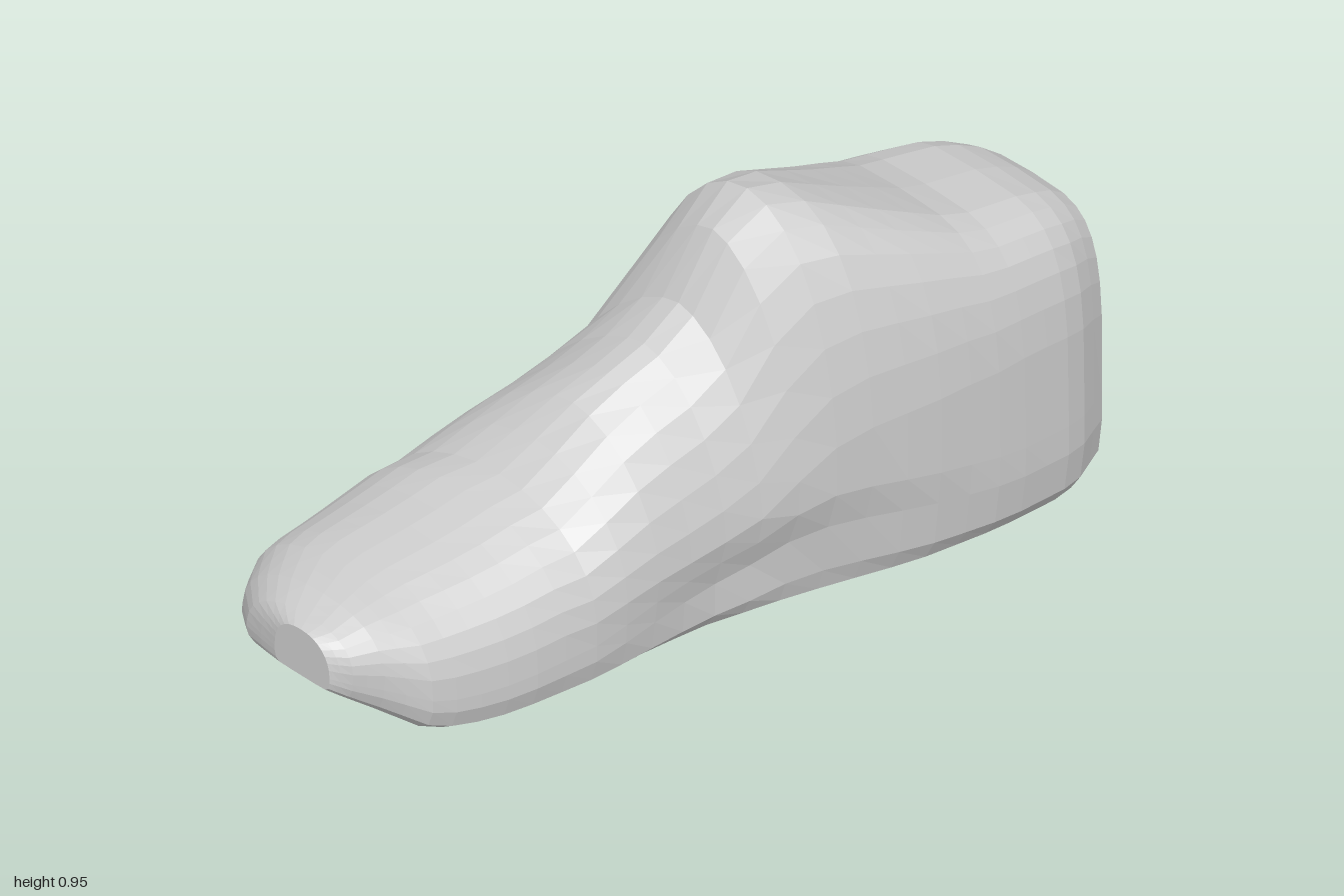
import * as THREE from 'three';

// Plan outline: z, left x, right x
const OUTLINE = [
  [1, -.15, .02], [.97, -.27, .05], [.9, -.36, .09], [.81, -.42, .155], [.6, -.445, .21],
  [.4, -.455, .245], [.1, -.415, .28], [-.1, -.31, .328], [-.4, -.205, .41], [-.61, -.172, .441],
  [-.8, -.115, .444], [-.91, -.04, .395], [-.97, .05, .32], [-1, .12, .27],
];

// Ridge over toe, lacing steps, tongue and heel: z, y
const RIDGE_HEIGHT = [
  [1, .3], [.9, .335], [.6, .38], [.4, .43], [.3, .53], [.19, .605], [.11, .63], [0, .72],
  [-.1, .9], [-.17, .95], [-.25, .935], [-.61, .76], [-.79, .745], [-.9, .7], [-.95, .58], [-1, .37],
];

// Sole lifting at toe and heel: z, y
const SOLE_HEIGHT = [[1, .18], [.8, .03], [.68, .005], [-.8, 0], [-.94, .02], [-.98, .08], [-1, .17]];

// Section style: z, ridge x, roundness (higher is boxier)
const SECTION = [[1, -.07, 2.3], [.8, -.13, 2.3], [.5, -.09, 2.2], [.2, .01, 1.6], [-.1, .06, 1.7], [-.4, .11, 2.8], [-.65, .13, 4], [-1, .2, 4]];

// Half of the sole up to the widest point: width fraction, height fraction
const SOLE_EDGE = [[0, 0], [.45, 0], [.84, .01], [.95, .07], [1, .2]];
const WIDEST = .3;
const UPPER_STEPS = 8;
const ROWS = 36;

// Linear reading of a column in a table that runs from toe to heel
function read(table, z, column = 1) {
  let i = 0;
  while (i < table.length - 2 && z < table[i + 1][0]) i++;
  const t = (table[i][0] - z) / (table[i][0] - table[i + 1][0]);
  return THREE.MathUtils.lerp(table[i][column], table[i + 1][column], t);
}

// Half section: sole edge followed by a superelliptic upper
function halfSection(power) {
  const points = [...SOLE_EDGE];
  for (let i = 0; i <= UPPER_STEPS; i++) {
    const angle = i / UPPER_STEPS * Math.PI / 2;
    const u = i === UPPER_STEPS ? 0 : Math.cos(angle) ** (2 / power);
    points.push([u, WIDEST + (1 - WIDEST) * Math.sin(angle) ** (2 / power)]);
  }
  return points;
}

// One closed ring of points around the foot
function ring(z) {
  const left = read(OUTLINE, z), right = read(OUTLINE, z, 2);
  const bottom = read(SOLE_HEIGHT, z), top = read(RIDGE_HEIGHT, z);
  const centre = (left + right) / 2, half = (right - left) / 2;
  const lean = read(SECTION, z) - centre;
  const section = halfSection(read(SECTION, z, 2));
  const place = (side) => ([u, v]) => {
    const y = bottom + v * (top - bottom);
    let x = centre + lean * v * v + side * u * half;
    // hollow of the arch on the inner side
    if (side > 0) x -= .045 * u * Math.exp(-(((z + .05) / .35) ** 2) - ((y - .13) / .1) ** 2);
    return [x, y, z];
  };
  return [...section.map(place(1)), ...section.slice(1, -1).reverse().map(place(-1))];
}

// Skin the rings and close both ends with fans
function loft(rings) {
  const n = rings[0].length, positions = rings.flat(2), index = [];
  for (let r = 0; r < rings.length - 1; r++) {
    for (let k = 0; k < n; k++) {
      const a = r * n + k, b = r * n + (k + 1) % n, c = a + n, d = b + n;
      index.push(a, c, b, b, c, d);
    }
  }
  const cap = (r, flip) => {
    const centre = positions.length / 3;
    for (let axis = 0; axis < 3; axis++) {
      positions.push(rings[r].reduce((sum, p) => sum + p[axis], 0) / n);
    }
    for (let k = 0; k < n; k++) {
      const a = r * n + k, b = r * n + (k + 1) % n;
      index.push(centre, flip ? b : a, flip ? a : b);
    }
  };
  cap(0, false);
  cap(rings.length - 1, true);
  const geometry = new THREE.BufferGeometry();
  geometry.setAttribute('position', new THREE.Float32BufferAttribute(positions, 3));
  geometry.setIndex(index);
  const faceted = geometry.toNonIndexed();
  faceted.computeVertexNormals();
  return faceted;
}

export function createModel() {
  const group = new THREE.Group();
  group.name = 'shoe';
  // rows crowd together toward the rounded toe and heel
  const rings = Array.from({ length: ROWS + 1 }, (_, i) => ring(Math.cos(Math.PI * i / ROWS)));
  const material = new THREE.MeshStandardMaterial({ color: 0xcccccc, flatShading: true });
  const body = new THREE.Mesh(loft(rings), material);
  body.name = 'shoeBody';
  group.add(body);
  return group;
}
